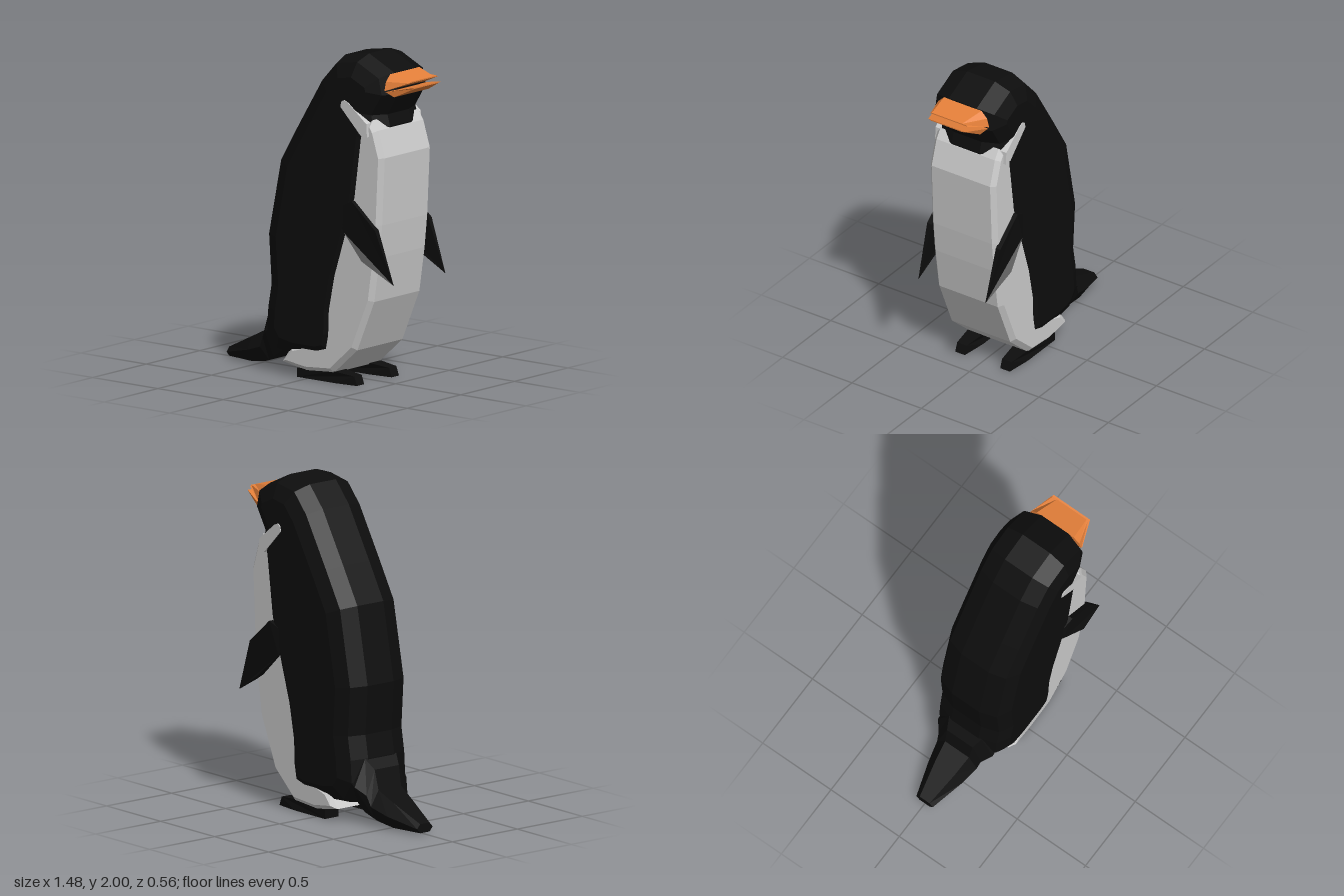
import * as THREE from 'three';

const mat = (color) => new THREE.MeshStandardMaterial({ color, flatShading: true });

// Side outline (x, y) given thickness in z, with the rim rounded off inside the outline.
function slab(points, halfWidth, rimZ = 0, rimInset = 0, segments = 1) {
  const shape = new THREE.Shape(points.map(([x, y]) => new THREE.Vector2(x, y)));
  const depth = 2 * (halfWidth - rimZ);
  const geo = new THREE.ExtrudeGeometry(shape, {
    depth, bevelEnabled: rimZ > 0, bevelThickness: rimZ,
    bevelSize: rimInset, bevelOffset: -rimInset, bevelSegments: segments,
  });
  return geo.translate(0, 0, -depth / 2);
}

// Closed skin over rings of [x, y, z] points, capped at both ends.
function loft(rings) {
  const n = rings[0].length, last = (rings.length - 1) * n, index = [];
  for (let r = 0; r < rings.length - 1; r++) {
    for (let i = 0; i < n; i++) {
      const a = r * n + i, b = r * n + (i + 1) % n;
      index.push(a, b, b + n, a, b + n, a + n);
    }
  }
  for (let i = 1; i < n - 1; i++) {
    index.push(0, i + 1, i, last, last + i, last + i + 1);
  }
  const geo = new THREE.BufferGeometry();
  geo.setAttribute('position', new THREE.Float32BufferAttribute(rings.flat(2), 3));
  geo.setIndex(index);
  const flat = geo.toNonIndexed();
  flat.computeVertexNormals();
  return flat;
}

export function createModel() {
  const model = new THREE.Group();
  model.name = 'penguin';
  const black = mat(0x0d0d0d), white = mat(0xcccccc), orange = mat(0xe5803a);
  const add = (name, geo, material) => {
    const mesh = new THREE.Mesh(geo, material);
    mesh.name = name;
    model.add(mesh);
    return mesh;
  };

  // Black back and head; its front rim sinks into the belly along the seam
  add('backAndHead', slab([
    [0.38, 2.0], [0.2, 1.97], [0.08, 1.84], [-0.11, 1.53], [-0.24, 1.31], [-0.335, 0.84],
    [-0.315, 0.54], [-0.34, 0.4], [-0.35, 0.25], [-0.26, 0.12], [-0.1, 0.09], [0.1, 0.09],
    [0.24, 0.13], [0.27, 0.28], [0.275, 0.43], [0.315, 0.63], [0.4, 0.9], [0.47, 1.13],
    [0.52, 1.5], [0.54, 1.58], [0.52, 1.65], [0.6, 1.78], [0.57, 1.91],
  ], 0.25, 0.15, 0.12, 2), black);

  // White belly
  add('belly', slab([
    [0.5, 1.63], [0.54, 1.57], [0.59, 1.41], [0.57, 1.0], [0.55, 0.8], [0.51, 0.53],
    [0.38, 0.22], [0.2, 0.06], [0, 0.045], [-0.19, 0.08], [-0.12, 0.18], [0.1, 0.25],
    [0.15, 0.6], [0.3, 1.1], [0.38, 1.55],
  ], 0.236, 0.026, 0.03), white);

  // White streak on both cheeks
  add('cheekStreaks', slab([
    [0.285, 1.69], [0.295, 1.725], [0.315, 1.733], [0.345, 1.72], [0.485, 1.61],
    [0.49, 1.53], [0.44, 1.535],
  ], 0.255), white);

  // Tail: x, top, bottom, half width
  const tail = [
    [-0.27, 0.44, 0.12, 0.2], [-0.335, 0.4, 0.075, 0.2], [-0.392, 0.34, 0.04, 0.155],
    [-0.42, 0.22, 0.03, 0.145], [-0.54, 0.162, 0.01, 0.12], [-0.745, 0.065, 0.01, 0.06],
  ];
  add('tail', loft(tail.map(([x, top, bottom, w]) => {
    const mid = (top + bottom) / 2, s = 0.6 * w;
    return [[x, mid, w], [x, top, s], [x, top, -s], [x, mid, -w], [x, bottom, -s], [x, bottom, s]];
  })), black);

  // Beak, slightly open
  const upper = [[-0.19, 1.81], [-0.175, 1.865], [-0.135, 1.905], [0.135, 1.905], [0.175, 1.865], [0.19, 1.81]];
  add('upperBeak', loft([
    upper.map(([z, y]) => [0.57, y, z]),
    upper.map(([z, y]) => [0.715, y > 1.85 ? 1.875 : 1.868, z * 0.7]),
  ]), orange);
  const lower = [[-0.16, 1.775], [-0.19, 1.806], [0.19, 1.806], [0.16, 1.775]];
  add('lowerBeak', loft([
    lower.map(([z, y]) => [y < 1.8 ? 0.62 : 0.58, y, z]),
    lower.map(([z, y]) => [0.737, y < 1.8 ? 1.834 : 1.841, z * 0.7]),
  ]), orange);

  for (const side of [1, -1]) {
    const label = side > 0 ? 'left' : 'right';

    // Flipper, bulging outward at the middle and thinning to the tip
    const wing = slab([
      [0.22, 1.05], [0.38, 1.13], [0.56, 0.975], [0.683, 0.655], [0.47, 0.78], [0.31, 0.93],
    ], 0.02);
    const p = wing.attributes.position;
    for (let i = 0; i < p.count; i++) {
      const x = p.getX(i), outer = p.getZ(i) * side > 0;
      p.setZ(i, side * (outer ? 0.28 - 0.18 * Math.abs(x - 0.47) : 0.225 + 0.07 * Math.max(0, x - 0.47)));
    }
    wing.computeVertexNormals();
    add(label + 'Flipper', wing, black);

    // Foot, tapering toward the toes
    const foot = slab([
      [-0.078, 0], [0.2, 0], [0.365, 0], [0.345, 0.055], [0.2, 0.07], [-0.078, 0.055],
    ], 0.053);
    const f = foot.attributes.position;
    for (let i = 0; i < f.count; i++) if (f.getX(i) > 0.3) f.setZ(i, f.getZ(i) * 0.65);
    foot.computeVertexNormals();
    add(label + 'Foot', foot, black).position.z = side * 0.162;
  }
  return model;
}
